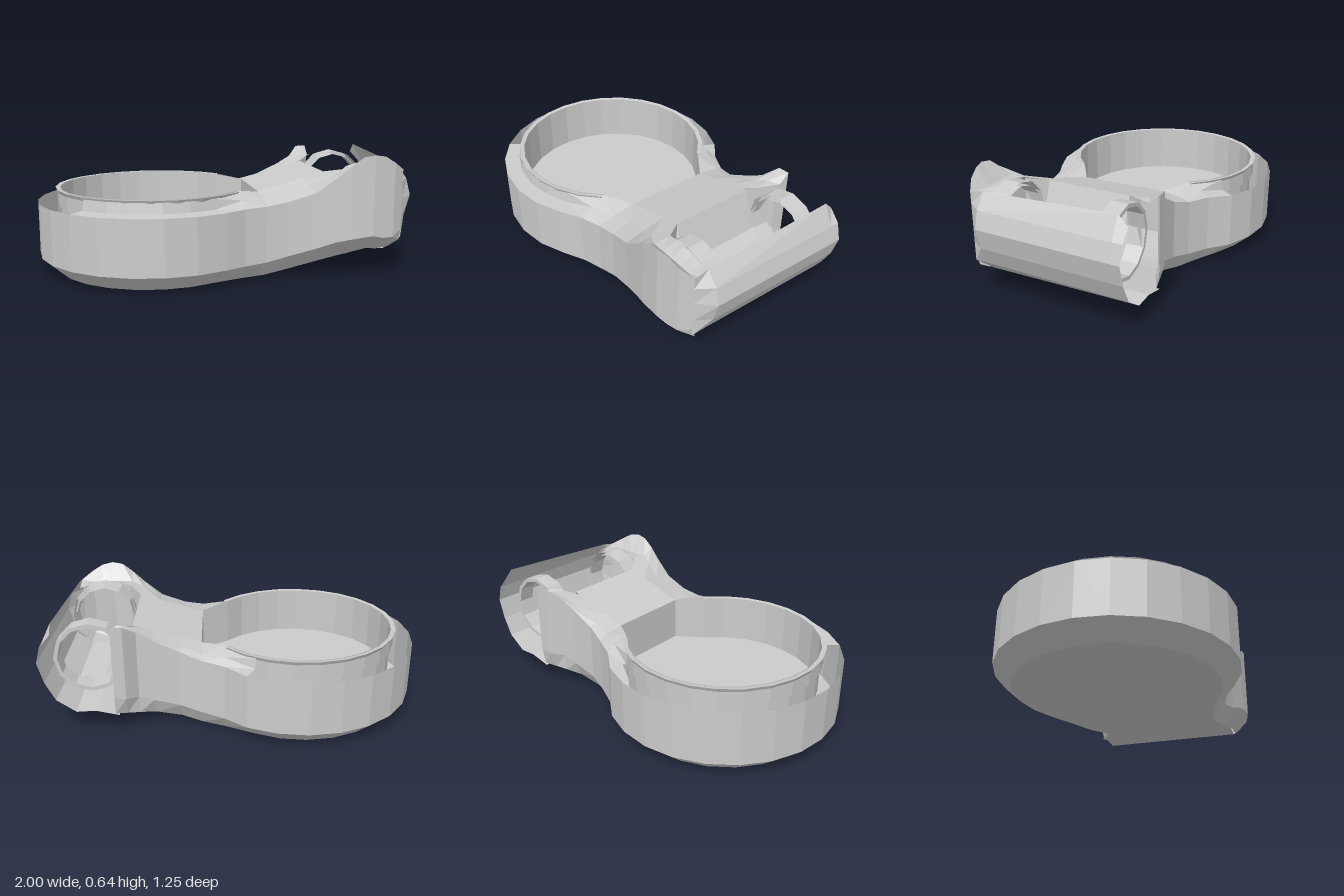
import * as THREE from 'three';

const material = new THREE.MeshStandardMaterial({ color: 0xcccccc, flatShading: true, side: THREE.DoubleSide });

// Surface lofted through rows holding equal numbers of [x, y, z] points
function loft(name, rows) {
  const n = rows[0].length, index = [];
  for (let i = 0; i < rows.length - 1; i++) {
    for (let j = 0; j < n - 1; j++) {
      const a = i * n + j, b = a + 1, c = a + n, d = c + 1;
      index.push(a, c, b, b, c, d);
    }
  }
  const geometry = new THREE.BufferGeometry();
  geometry.setAttribute('position', new THREE.Float32BufferAttribute(rows.flat(2), 3));
  geometry.setIndex(index);
  geometry.computeVertexNormals();
  const mesh = new THREE.Mesh(geometry, material);
  mesh.name = name;
  return mesh;
}

// Piecewise linear lookup in [x, value] pairs
function at(table, x) {
  if (x <= table[0][0]) return table[0][1];
  for (let i = 1; i < table.length; i++) {
    const [x0, v0] = table[i - 1], [x1, v1] = table[i];
    if (x <= x1) return v0 + (v1 - v0) * (x - x0) / (x1 - x0);
  }
  return table[table.length - 1][1];
}

const bottomY = [[0.13, 0.005], [0.28, 0.03], [0.5, 0.085], [0.72, 0.135], [0.82, 0.13], [0.9, 0.18]];
const bevelY = [[0.12, 0.09], [0.2, 0.1], [0.4, 0.15], [0.55, 0.2], [0.72, 0.225], [0.82, 0.2], [0.9, 0.24]];
const innerY = [[0.05, 0.45], [0.17, 0.43], [0.53, 0.53], [0.62, 0.56], [0.72, 0.58], [0.8, 0.57], [0.9, 0.54]];
const innerZ = [[0.05, 0.315], [0.17, 0.23], [0.53, 0.23], [0.6, 0.33], [0.9, 0.33]];

// The two sides differ in their outline and arm height
const sides = [
  {
    name: 'front', sign: 1, ledgeStart: 3, xs: [0.05, 0.17, 0.28, 0.42, 0.53, 0.6, 0.66, 0.72, 0.78, 0.84, 0.9],
    outline: [[0.05, 0.485], [0.17, 0.45], [0.28, 0.44], [0.42, 0.455], [0.6, 0.49], [0.72, 0.5], [0.84, 0.47], [0.9, 0.43]],
    top: [[0.15, 0.385], [0.3, 0.41], [0.42, 0.45], [0.53, 0.53], [0.6, 0.59], [0.66, 0.635], [0.72, 0.645], [0.78, 0.635], [0.84, 0.6], [0.9, 0.56]],
    base: [[0.05, 0.4], [0.28, 0.37], [0.84, 0.4], [0.9, 0.41]],
    middleZ: [[0.05, 0.41], [0.17, 0.36], [0.28, 0.33], [0.42, 0.34], [0.6, 0.42], [0.84, 0.42], [0.9, 0.4]],
  },
  {
    name: 'back', sign: -1, ledgeStart: 8, xs: [0.05, 0.17, 0.28, 0.42, 0.5, 0.56, 0.62],
    outline: [[0.05, 0.45], [0.17, 0.39], [0.28, 0.355], [0.42, 0.36], [0.5, 0.37], [0.56, 0.43], [0.62, 0.435]],
    top: [[0.15, 0.39], [0.28, 0.43], [0.42, 0.5], [0.5, 0.545], [0.56, 0.6], [0.62, 0.6]],
    base: [[0.05, 0.38], [0.28, 0.3], [0.42, 0.32], [0.56, 0.39], [0.62, 0.42]],
    middleZ: [[0.05, 0.4], [0.17, 0.345], [0.28, 0.32], [0.5, 0.33], [0.62, 0.38]],
  },
];

// Cross-section points for each station, from the left tip to the end of the arm
function stations(side) {
  const list = [];
  for (let deg = 180; deg >= 60; deg -= 15) {
    const c = Math.cos(deg * Math.PI / 180), s = Math.sin(deg * Math.PI / 180) * side.sign;
    const ring = (r, y) => [-0.37 + r * c, y, r * s];
    list.push({ base: ring(0.53, 0.005), low: ring(0.625, 0.09), top: ring(0.625, 0.38), mid: ring(0.54, 0.385), inner: ring(0.53, 0.44) });
  }
  for (const x of side.xs) {
    const p = (y, z) => [x, y, z * side.sign];
    const out = at(side.outline, x), hi = at(side.top, x), inY = at(innerY, x);
    list.push({
      base: p(at(bottomY, x), at(side.base, x)), low: p(at(bevelY, x), out), top: p(hi, out),
      mid: p(x < 0.55 ? (hi + inY) / 2 : 0.55, at(side.middleZ, x)), inner: p(inY, at(innerZ, x)),
    });
  }
  return list;
}

export function createModel() {
  const group = new THREE.Group();
  const [front, back] = sides.map(stations);

  // Bevelled outer walls and the ledges along the arms
  sides.forEach((side, k) => {
    const st = [front, back][k];
    group.add(loft(side.name + 'OuterWall', st.map(s => [s.base, s.low, s.top])));
    group.add(loft(side.name + 'Ledge', st.slice(side.ledgeStart).map(s => [s.top, s.mid, s.inner])));
  });

  // Underside, flat below the bowl and rising along the neck
  group.add(loft('underside', back.map((s, i) => [s.base, front[i].base])));

  // Round bowl closed by a straight wall towards the neck
  const floorY = 0.19, path = [[0.17, 0.23]];
  for (let deg = 40; deg <= 320; deg += 14) {
    const t = deg * Math.PI / 180;
    path.push([-0.365 + 0.51 * Math.cos(t), 0.51 * Math.sin(t)]);
  }
  path.push([0.17, -0.23]);
  group.add(loft('bowlWall', path.map(([x, z]) => [[x, floorY, z], [x, x > 0.1 ? 0.43 : 0.45, z]])));
  group.add(loft('bowlEndWall', [0.23, -0.23].map(z => [[0.17, floorY, z], [0.17, 0.43, z]])));
  group.add(loft('bowlRim', path.slice(1, -1).map(([x, z]) => {
    const grow = k => [-0.365 + (x + 0.365) * k, z * k];
    const [ax, az] = grow(1.05), [bx, bz] = grow(1.03);
    return [[x, 0.445, z], [ax, 0.45, az], [bx, 0.43, bz], [bx, 0.36, bz]];
  })));
  const floor = new THREE.Mesh(new THREE.ShapeGeometry(new THREE.Shape(path.map(([x, z]) => new THREE.Vector2(x, -z)))), material);
  floor.name = 'bowlFloor';
  floor.rotation.x = -Math.PI / 2;
  floor.position.y = floorY;
  group.add(floor);

  // Neck deck rising level with the ledges, then dropping into the hollow between the arms
  const deck = [[0.17, 0.43], [0.53, 0.53], [0.6, 0.32], [0.69, 0.24], [0.83, 0.23], [0.92, 0.3], [0.95, 0.42]];
  group.add(loft('neckDeck', deck.map(([x, y]) => [[x, y, -0.23], [x, y, 0.23]])));
  for (const s of [-1, 1]) {
    // Wall stepping outwards beside the hollow
    group.add(loft('neckShoulder', [
      [[0.53, 0.25, 0.23 * s], [0.53, 0.53, 0.23 * s]],
      [[0.6, 0.25, 0.33 * s], [0.6, 0.55, 0.33 * s]],
    ]));
    // Open bearing ring at the end of the hollow
    const ring = [];
    for (let i = 0; i <= 12; i++) {
      const t = i / 12 * Math.PI * 2, c = Math.cos(t), q = Math.sin(t);
      const p = (r, z) => [0.745 + r * c, 0.395 + r * q, z * s];
      ring.push([p(0.19, 0.25), p(0.19, 0.34), p(0.17, 0.34), p(0.17, 0.25)]);
    }
    group.add(loft('bearingRing', ring));
  }

  // Curved end shell, wrapping round into the front arm
  const profile = [[0.6, 0.108], [0.72, 0.135], [0.82, 0.13], [0.92, 0.2], [0.97, 0.3], [1, 0.41], [0.975, 0.5], [0.92, 0.61]];
  group.add(loft('endShell', profile.map(([x, y], i) => {
    const last = i === profile.length - 1;
    const shift = x > 0.9 ? 0.02 : 0;
    return [
      [x, last ? 0.56 : y, -0.43], [x, y, -0.38],
      [x - shift, last ? 0.575 : y, 0.35],
      [Math.min(x, 0.9), last ? 0.56 : y, i < 3 ? 0.39 : 0.43],
    ];
  })));

  return group;
}
